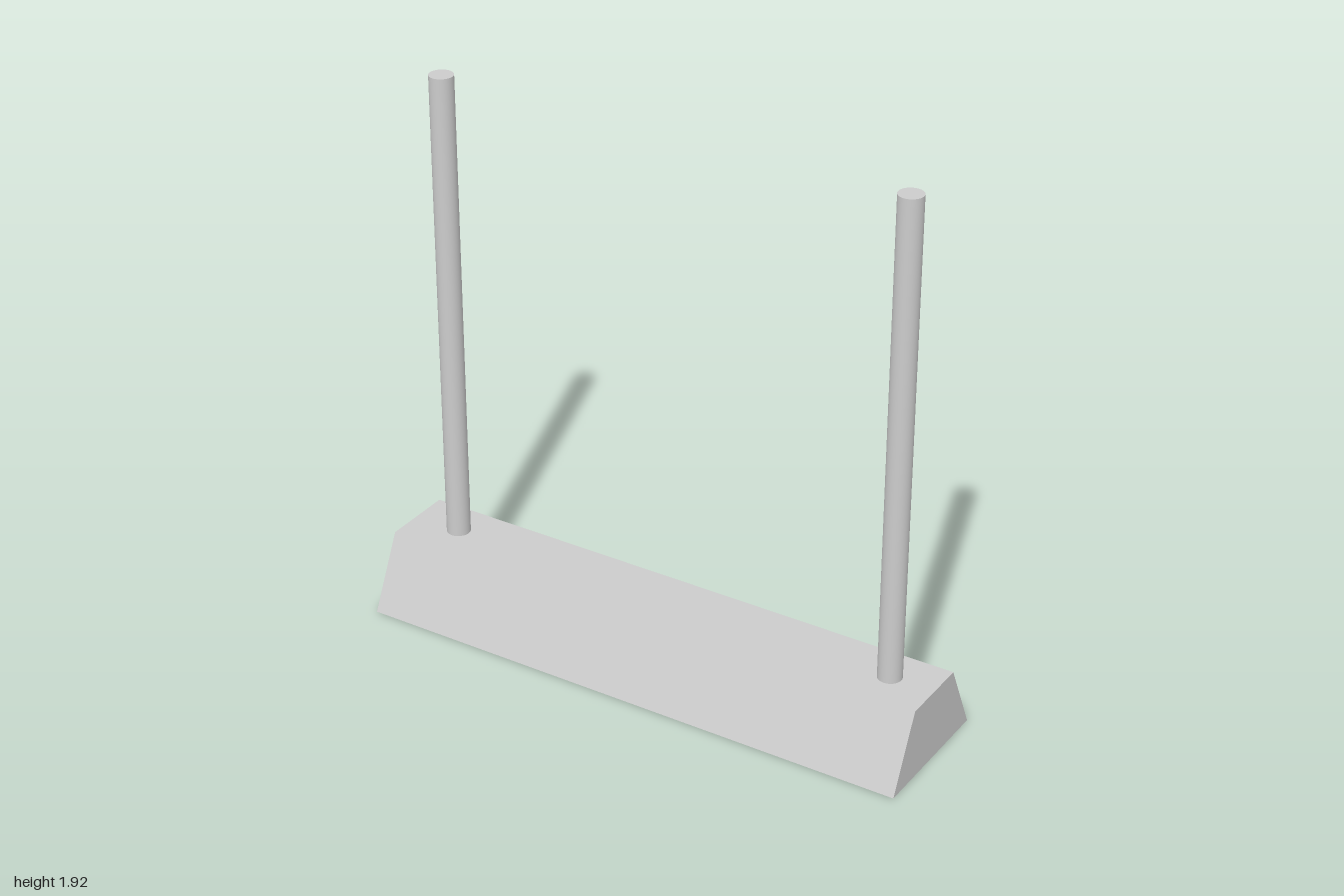
import * as THREE from 'three';

const BASE_HEIGHT = 0.255;
const POST_TOP = 1.925;

// Hollow trapezoidal shell: a box narrowed at the top, with its underside left open
function createBaseGeometry() {
  const geometry = new THREE.BoxGeometry(2, BASE_HEIGHT, 0.5);
  geometry.translate(0, BASE_HEIGHT / 2, 0);
  const position = geometry.attributes.position;
  for (let i = 0; i < position.count; i++) {
    if (position.getY(i) > 0.1) position.setZ(i, Math.sign(position.getZ(i)) * 0.128);
  }
  const index = Array.from(geometry.index.array);
  index.splice(18, 6); // the underside
  geometry.setIndex(index);
  geometry.clearGroups();
  geometry.computeVertexNormals();
  return geometry;
}

export function createModel() {
  const model = new THREE.Group();
  model.name = 'postStand';

  const shellMaterial = new THREE.MeshStandardMaterial({ color: 0xcccccc, side: THREE.DoubleSide });
  const postMaterial = new THREE.MeshStandardMaterial({ color: 0xcccccc });

  const base = new THREE.Mesh(createBaseGeometry(), shellMaterial);
  base.name = 'base';
  model.add(base);

  // Upright round posts, slightly off symmetric along the base
  const postHeight = POST_TOP - BASE_HEIGHT;
  const postGeometry = new THREE.CylinderGeometry(0.041, 0.041, postHeight, 32);
  for (const [name, x] of [['rightPost', -0.825], ['leftPost', 0.842]]) {
    const post = new THREE.Mesh(postGeometry, postMaterial);
    post.name = name;
    post.position.set(x, BASE_HEIGHT + postHeight / 2, 0);
    model.add(post);
  }

  return model;
}
